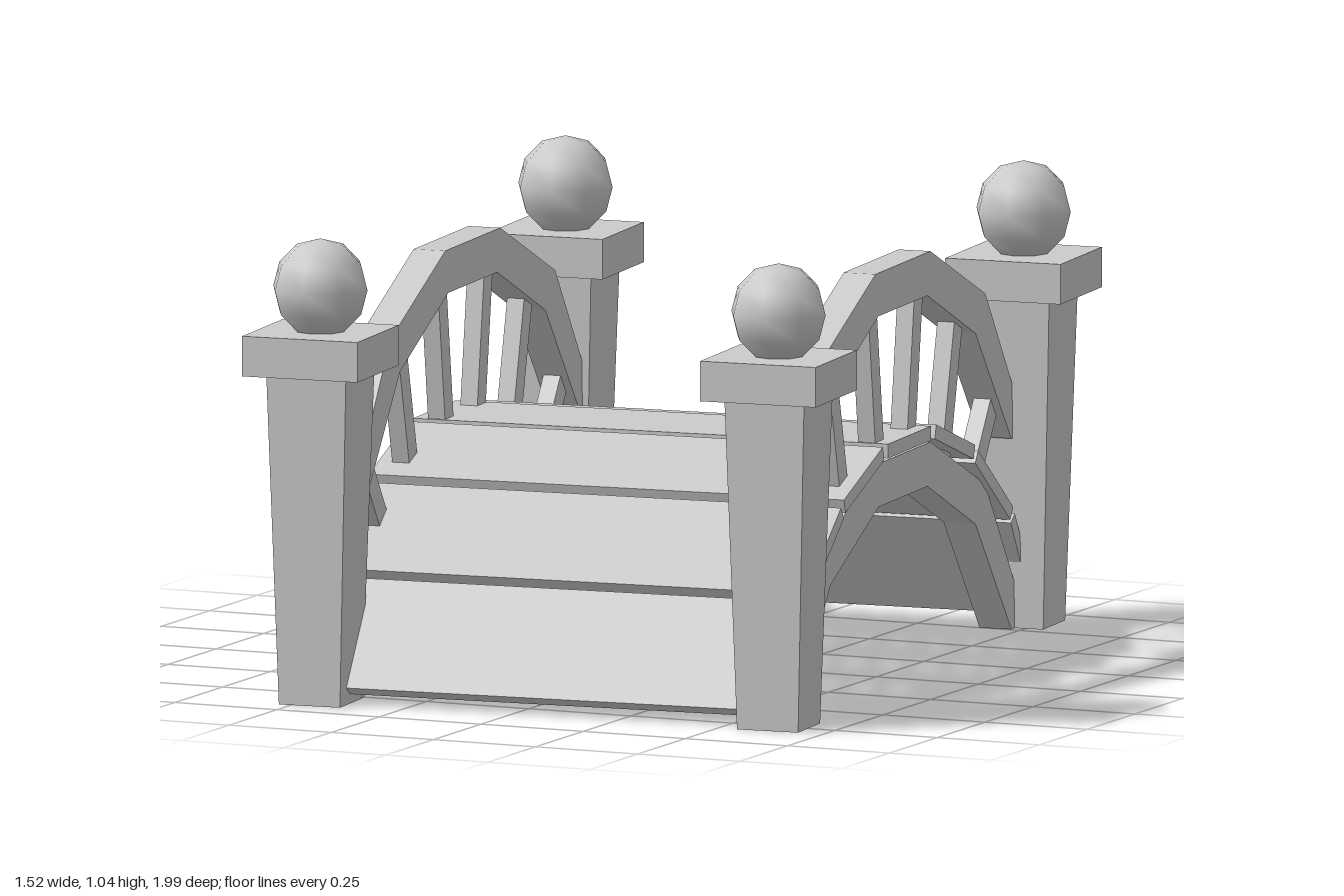
import * as THREE from 'three';

const material = new THREE.MeshStandardMaterial({ color: 0xcccccc, flatShading: true });
const smooth = new THREE.MeshStandardMaterial({ color: 0xcccccc });

function add(parent, name, geometry, x, y, z, mat = material) {
  const mesh = new THREE.Mesh(geometry, mat);
  mesh.name = name;
  mesh.position.set(x, y, z);
  parent.add(mesh);
  return mesh;
}

// Angular arch in the z-y plane, extruded along x and centred on its width
function archGeometry(width) {
  const outer = [[0.81, 0], [0.54, 0.35], [0.18, 0.497]];
  const inner = [[0.16, 0.40], [0.475, 0.27], [0.71, 0]];
  const mirror = pts => pts.map(([z, y]) => [-z, y]).reverse();
  const outline = [...outer, ...mirror(outer), ...mirror(inner), ...inner];
  const shape = new THREE.Shape(outline.map(([z, y]) => new THREE.Vector2(z, y)));
  const geometry = new THREE.ExtrudeGeometry(shape, { depth: width, bevelEnabled: false });
  return geometry.translate(0, 0, -width / 2).rotateY(-Math.PI / 2);
}

// Bar of given size between two points [z, y] in a plane of constant x
function bar(parent, name, x, [z0, y0], [z1, y1], width, depth) {
  const length = Math.hypot(z1 - z0, y1 - y0);
  const mesh = add(parent, name, new THREE.BoxGeometry(width, depth, length), x, (y0 + y1) / 2, (z0 + z1) / 2);
  mesh.rotation.x = -Math.atan2(y1 - y0, z1 - z0);
  return mesh;
}

export function createModel() {
  const model = new THREE.Group();
  const bridge = new THREE.Group();
  bridge.name = 'bridge';
  bridge.rotation.y = 0.092;
  model.add(bridge);

  // Corner posts: tapered shaft, square cap, ball
  const shaft = new THREE.CylinderGeometry(0.094 * Math.SQRT2, 0.072 * Math.SQRT2, 0.75, 4).rotateY(Math.PI / 4);
  const cap = new THREE.BoxGeometry(0.272, 0.09, 0.272);
  const ball = new THREE.SphereGeometry(0.111, 8, 6);
  for (const sx of [-1, 1]) for (const sz of [-1, 1]) {
    const post = new THREE.Group();
    post.name = 'cornerPost';
    post.position.set(sx * 0.54, 0, sz * 0.803);
    bridge.add(post);
    add(post, 'postShaft', shaft, 0, 0.375, 0);
    add(post, 'postCap', cap, 0, 0.787, 0);
    add(post, 'postBall', ball, 0, 0.928, 0, smooth);
  }

  // Lower stringers, handrails and leaning balusters on both sides
  const arch = archGeometry(0.075);
  const balusters = [
    [[0.10, 0.50], [0.155, 0.86]],
    [[0.33, 0.44], [0.42, 0.76]],
    [[0.51, 0.34], [0.69, 0.57]],
  ];
  for (const sx of [-1, 1]) {
    const x = sx * 0.507;
    add(bridge, 'stringer', arch, x, 0, 0);
    add(bridge, 'handrail', arch, x, 0.428, 0);
    for (const [[z0, y0], [z1, y1]] of balusters) for (const sz of [-1, 1]) {
      bar(bridge, 'baluster', x, [sz * z0, y0], [sz * z1, y1], 0.04, 0.055);
    }
  }

  // Deck planks, following the curve of the arch
  const planks = [
    [[0.17, 0.522], [0.425, 0.44]],
    [[0.44, 0.427], [0.67, 0.267]],
    [[0.677, 0.255], [0.823, 0.03]],
  ];
  bar(bridge, 'deckPlank', 0, [-0.14, 0.523], [0.14, 0.523], 1.12, 0.032);
  for (const [[z0, y0], [z1, y1]] of planks) for (const sz of [-1, 1]) {
    bar(bridge, 'deckPlank', 0, [sz * z0, y0], [sz * z1, y1], 1.12, 0.032);
  }
  return model;
}
